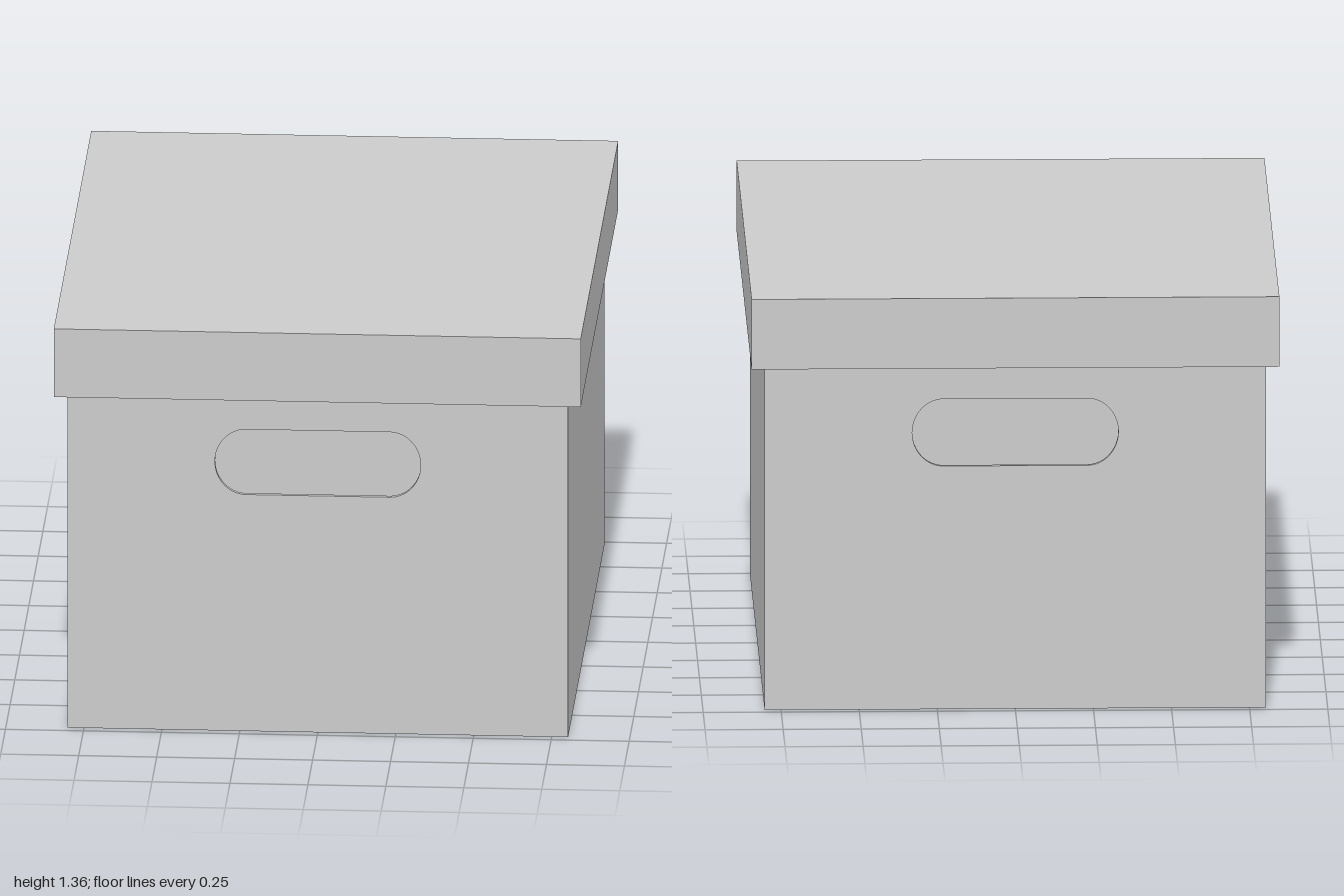
import * as THREE from 'three';

export function createModel() {
  const group = new THREE.Group();
  const material = new THREE.MeshStandardMaterial({ color: 0xcccccc });
  const T = 0.015; // board thickness
  const W = 1.605, D = 1.94, H = 1.34; // body
  const LW = 1.69, LD = 2, LIP = 1.125, TOP = 1.355; // lid

  const add = (name, geometry, x, y, z) => {
    const mesh = new THREE.Mesh(geometry, material);
    mesh.name = name;
    mesh.position.set(x, y, z);
    group.add(mesh);
  };
  const board = (name, w, h, d, x, y, z) => add(name, new THREE.BoxGeometry(w, h, d), x, y, z);

  // End panel with a rounded hand hole
  const panel = new THREE.Shape([
    new THREE.Vector2(-W / 2, 0), new THREE.Vector2(W / 2, 0),
    new THREE.Vector2(W / 2, H), new THREE.Vector2(-W / 2, H),
  ]);
  const hole = new THREE.Path();
  hole.moveTo(-0.23, 0.798);
  hole.absellipse(-0.23, 0.908, 0.1, 0.11, -Math.PI / 2, Math.PI / 2, true);
  hole.lineTo(0.23, 1.018);
  hole.absellipse(0.23, 0.908, 0.1, 0.11, Math.PI / 2, -Math.PI / 2, true);
  hole.closePath();
  panel.holes.push(hole);
  const endPanel = new THREE.ExtrudeGeometry(panel, { depth: T, bevelEnabled: false, curveSegments: 16 });
  add('frontPanel', endPanel, 0, 0, D / 2 - T);
  add('backPanel', endPanel, 0, 0, -D / 2);

  // Body floor, lid top
  board('floor', W - 2 * T, T, D - 2 * T, 0, T / 2, 0);
  board('lidTop', LW, T, LD, 0, TOP - T / 2, 0);

  // Mirrored body sides and lid rims
  const rimH = TOP - T - LIP, rimY = LIP + rimH / 2;
  for (const [side, s] of [['left', 1], ['right', -1]]) {
    board(side + 'Panel', T, H, D - 2 * T, s * (W - T) / 2, H / 2, 0);
    board(side + 'LidRim', T, rimH, LD - 2 * T, s * (LW - T) / 2, rimY, 0);
  }
  for (const [side, s] of [['front', 1], ['back', -1]]) {
    board(side + 'LidRim', LW, rimH, T, 0, rimY, s * (LD - T) / 2);
  }
  return group;
}
